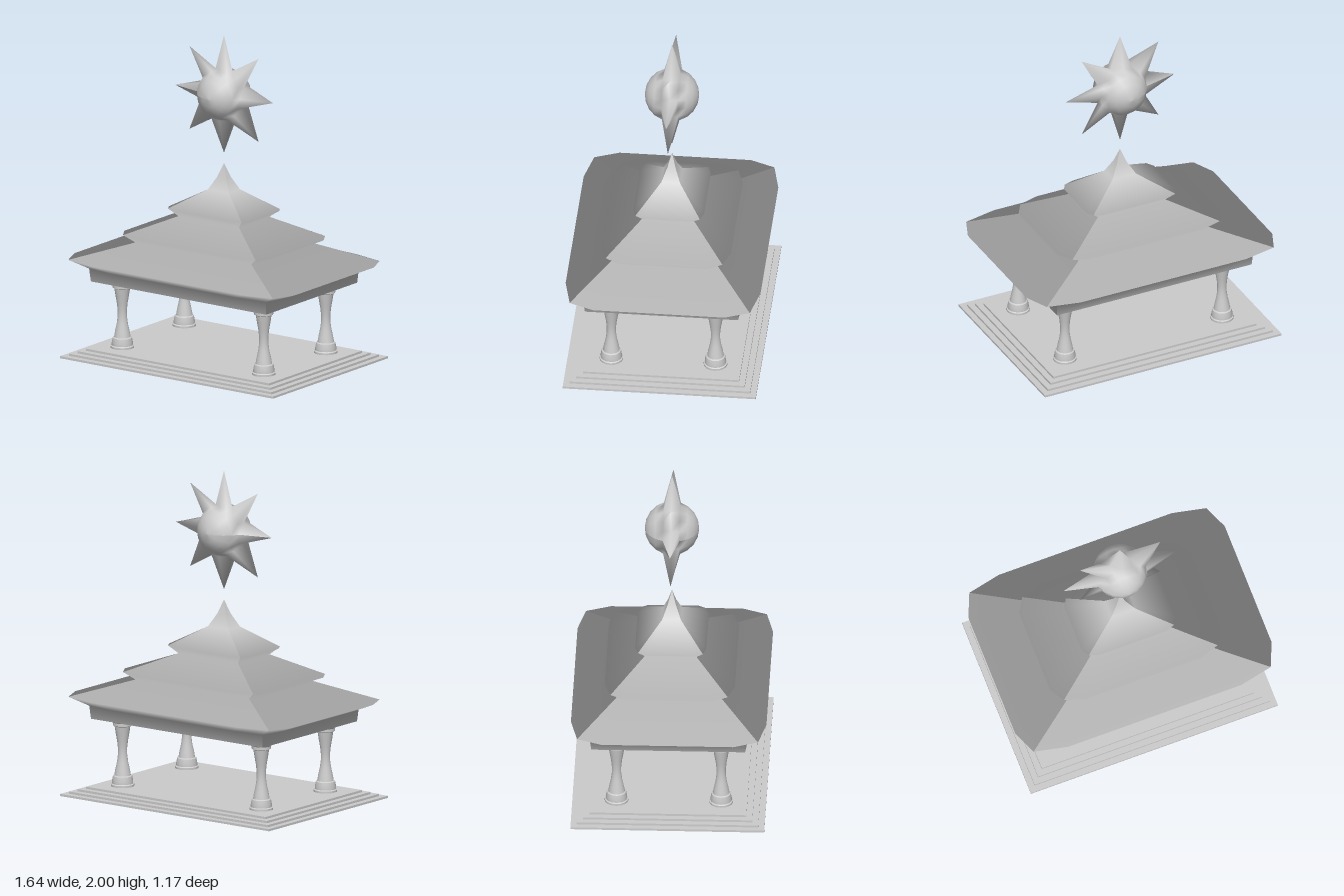
import * as THREE from 'three';
import { toCreasedNormals } from 'three/addons/utils/BufferGeometryUtils.js';

const grey = new THREE.MeshStandardMaterial({ color: 0xcccccc });
const greyOpen = new THREE.MeshStandardMaterial({ color: 0xcccccc, side: THREE.DoubleSide });

function addMesh(parent, name, geometry, x = 0, y = 0, z = 0, material = grey) {
  const mesh = new THREE.Mesh(geometry, material);
  mesh.name = name;
  mesh.position.set(x, y, z);
  parent.add(mesh);
}

// Roof levels from bottom to tip: half width, half depth, height,
// how far the corner is drawn in, where the straight edge ends
const roofLevels = [
  [0.65, 0.46, 0.472, 1, 0.8],
  [0.69, 0.495, 0.553, 0.95, 0.65],
  [0.82, 0.585, 0.606, 0.925, 0.675],
  [0.43, 0.31, 0.716, 1, 0.68],
  [0.547, 0.39, 0.76, 0.9, 0.67],
  [0.225, 0.155, 0.878, 1, 0.7],
  [0.3, 0.213, 0.926, 0.91, 0.7],
  [0.078, 0.056, 1.046, 1, 0.7],
  [0.032, 0.024, 1.125, 1, 0.7],
  [0, 0, 1.21, 1, 0.7],
];

// Outward and upward parts of the smooth normal at one roof level:
// the even mean of the slopes below and above it
function levelNormal(row, half) {
  const sum = new THREE.Vector2();
  for (const i of [row - 1, row]) {
    const low = roofLevels[i], high = roofLevels[i + 1];
    if (!low || !high) continue;
    sum.add(new THREE.Vector2(high[2] - low[2], low[half] - high[half]).normalize());
  }
  return sum.normalize();
}

// One side of the roof, smooth from eave to tip and sharp at its corners
function roofSide(onEnd, sign) {
  const position = [];
  const normal = [];
  const index = [];
  roofLevels.forEach(([hx, hz, y, corner, mid], row) => {
    const cx = hx * corner, cz = hz * corner;
    const points = onEnd
      ? [[cx, cz], [hx, hz * mid], [hx, -hz * mid], [cx, -cz]]
      : [[-cx, cz], [-hx * mid, hz], [hx * mid, hz], [cx, cz]];
    const n = levelNormal(row, onEnd ? 0 : 1);
    for (const [x, z] of points) {
      position.push(x * sign, y, z * sign);
      normal.push(onEnd ? n.x * sign : 0, n.y, onEnd ? 0 : n.x * sign);
    }
    if (row === roofLevels.length - 1) return;
    for (let i = 0; i < 3; i++) {
      const a = row * 4 + i;
      index.push(a, a + 1, a + 5, a, a + 5, a + 4);
    }
  });
  const geometry = new THREE.BufferGeometry();
  geometry.setAttribute('position', new THREE.Float32BufferAttribute(position, 3));
  geometry.setAttribute('normal', new THREE.Float32BufferAttribute(normal, 3));
  geometry.setIndex(index);
  return geometry;
}

function createRoof() {
  const roof = new THREE.Group();
  roof.name = 'roof';
  for (const sign of [1, -1]) {
    addMesh(roof, sign > 0 ? 'roofFront' : 'roofBack', roofSide(false, sign));
    addMesh(roof, sign > 0 ? 'roofLeft' : 'roofRight', roofSide(true, sign));
  }
  const ceiling = new THREE.PlaneGeometry(1.3, 0.92).rotateX(Math.PI / 2);
  addMesh(roof, 'ceiling', ceiling, 0, 0.472, 0);
  return roof;
}

// Stepped base as a thin shell, hollow underneath
const stepHeight = 0.0133, stepInset = 0.037, steps = 4;

function createBaseGeometry() {
  const levels = [];
  for (let i = 0; i < steps; i++) {
    const hx = 0.79 - i * stepInset, hz = 0.58 - i * stepInset;
    levels.push([hx, hz, i * stepHeight], [hx, hz, (i + 1) * stepHeight]);
  }
  const position = [];
  const index = [];
  levels.forEach(([hx, hz, y], row) => {
    position.push(-hx, y, hz, hx, y, hz, hx, y, -hz, -hx, y, -hz);
    if (row === levels.length - 1) return;
    for (let i = 0; i < 4; i++) {
      const a = row * 4 + i, b = row * 4 + ((i + 1) % 4);
      index.push(a, b, b + 4, a, b + 4, a + 4);
    }
  });
  const top = (levels.length - 1) * 4;
  index.push(top, top + 1, top + 2, top, top + 2, top + 3);
  const geometry = new THREE.BufferGeometry();
  geometry.setAttribute('position', new THREE.Float32BufferAttribute(position, 3));
  geometry.setIndex(index);
  return toCreasedNormals(geometry, 0.5);
}

// A ball facing forward whose rim is pulled out into eight spikes
function createStarGeometry() {
  const columns = 16, rows = 10;
  const geometry = new THREE.SphereGeometry(0.163, columns, rows).rotateX(Math.PI / 2);
  const position = geometry.attributes.position;
  const rim = (columns + 1) * (rows / 2);
  for (let i = 0; i <= columns; i += 2) {
    const x = position.getX(rim + i), y = position.getY(rim + i);
    const pull = 0.363 / Math.hypot(x, y);
    position.setXYZ(rim + i, x * pull, y * pull, 0);
  }
  geometry.computeVertexNormals();
  return geometry;
}

export function createModel() {
  const model = new THREE.Group();
  model.name = 'pavilion';

  addMesh(model, 'steppedBase', createBaseGeometry(), 0, 0, 0, greyOpen);

  // Waisted columns with a foot and a capital, standing on the floor
  const profile = [
    [0.071, 0.053], [0.071, 0.065], [0.064, 0.07], [0.064, 0.085], [0.058, 0.115], [0.05, 0.12],
    [0.044, 0.155], [0.034, 0.2], [0.028, 0.245], [0.028, 0.285], [0.033, 0.33], [0.041, 0.375],
    [0.048, 0.42], [0.058, 0.425], [0.058, 0.443], [0.068, 0.45], [0.068, 0.472],
  ].map(([r, y]) => new THREE.Vector2(r, y));
  const column = toCreasedNormals(new THREE.LatheGeometry(profile, 16), 0.6);
  for (const x of [-0.525, 0.525]) {
    for (const z of [-0.313, 0.313]) addMesh(model, 'column', column, x, 0, z);
  }

  model.add(createRoof());
  addMesh(model, 'star', createStarGeometry(), 0, 1.637, 0);
  return model;
}
